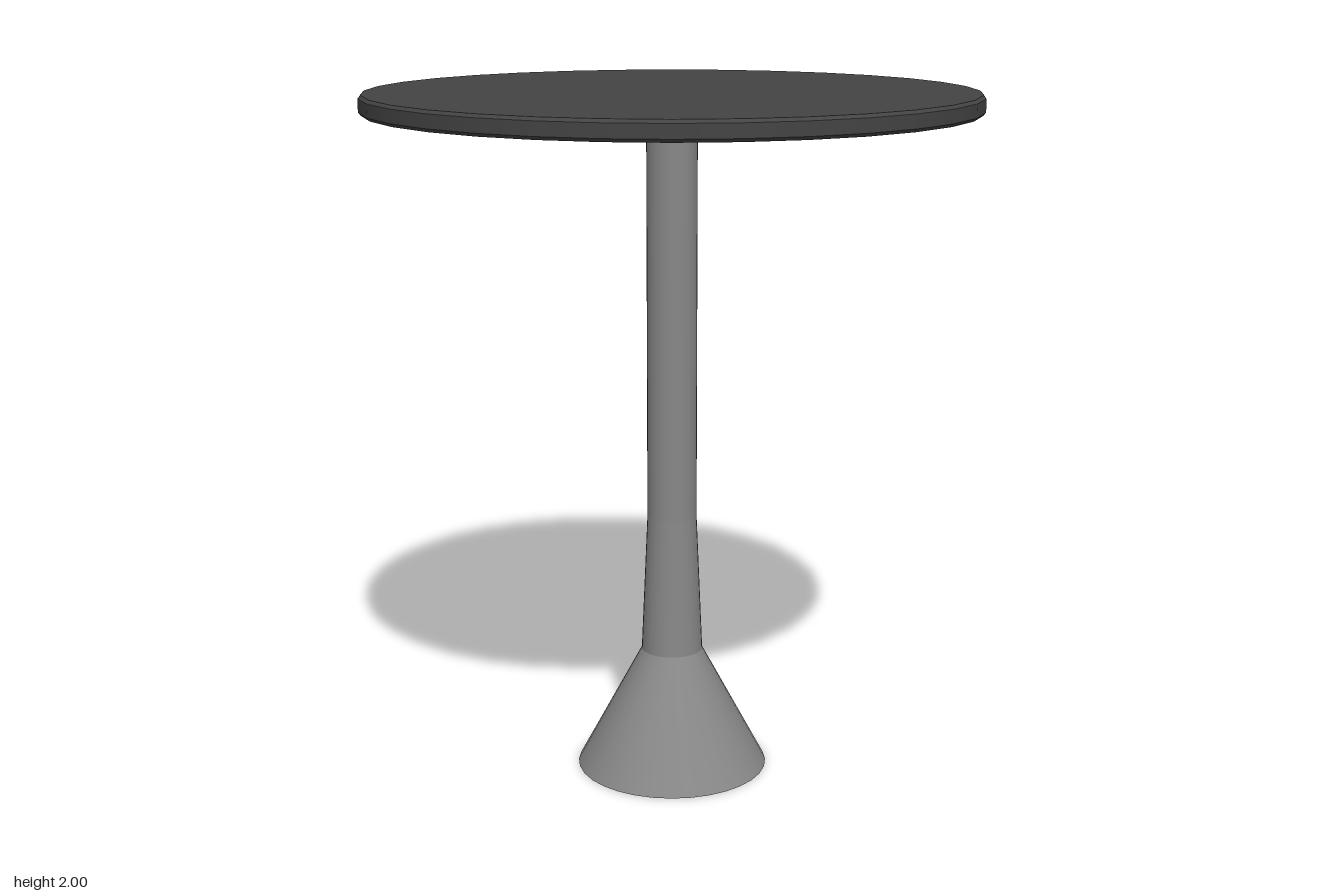
import * as THREE from 'three';

const SIDES = 32;

export function createModel() {
  const model = new THREE.Group();
  model.name = 'pedestalTable';

  const darkTop = new THREE.MeshStandardMaterial({ color: 0x444444 });
  darkTop.name = 'dark top';
  const greyMetal = new THREE.MeshStandardMaterial({ color: 0x888888 });
  greyMetal.name = 'grey metal';

  // A round section between two heights; smooth around, sharp at its ends
  function section(parent, name, material, y0, r0, y1, r1) {
    const geometry = new THREE.CylinderGeometry(r1, r0, y1 - y0, SIDES, 1, true);
    const mesh = new THREE.Mesh(geometry, material);
    mesh.position.y = (y0 + y1) / 2;
    mesh.name = name;
    parent.add(mesh);
  }

  // A flat disc facing up or down
  function disc(parent, name, material, y, r, up) {
    const geometry = new THREE.CircleGeometry(r, SIDES);
    geometry.rotateX(up ? -Math.PI / 2 : Math.PI / 2);
    const mesh = new THREE.Mesh(geometry, material);
    mesh.position.y = y;
    mesh.name = name;
    parent.add(mesh);
  }

  // Pedestal: flared foot, tapered collar and straight column
  const pedestal = new THREE.Group();
  pedestal.name = 'pedestal';
  disc(pedestal, 'footUnderside', greyMetal, 0, 0.282, false);
  section(pedestal, 'foot', greyMetal, 0, 0.282, 0.36, 0.09);
  section(pedestal, 'collar', greyMetal, 0.36, 0.09, 0.77, 0.072);
  section(pedestal, 'column', greyMetal, 0.77, 0.072, 1.945, 0.072);
  model.add(pedestal);

  // Table top: flat faces with a rim that has small bevels
  const top = new THREE.Group();
  top.name = 'tableTop';
  disc(top, 'topUnderside', darkTop, 1.945, 0.855, false);
  section(top, 'lowerBevel', darkTop, 1.945, 0.855, 1.954, 0.863);
  section(top, 'rim', darkTop, 1.954, 0.863, 1.991, 0.863);
  section(top, 'upperBevel', darkTop, 1.991, 0.863, 2, 0.855);
  disc(top, 'topSurface', darkTop, 2, 0.855, true);
  model.add(top);

  return model;
}
